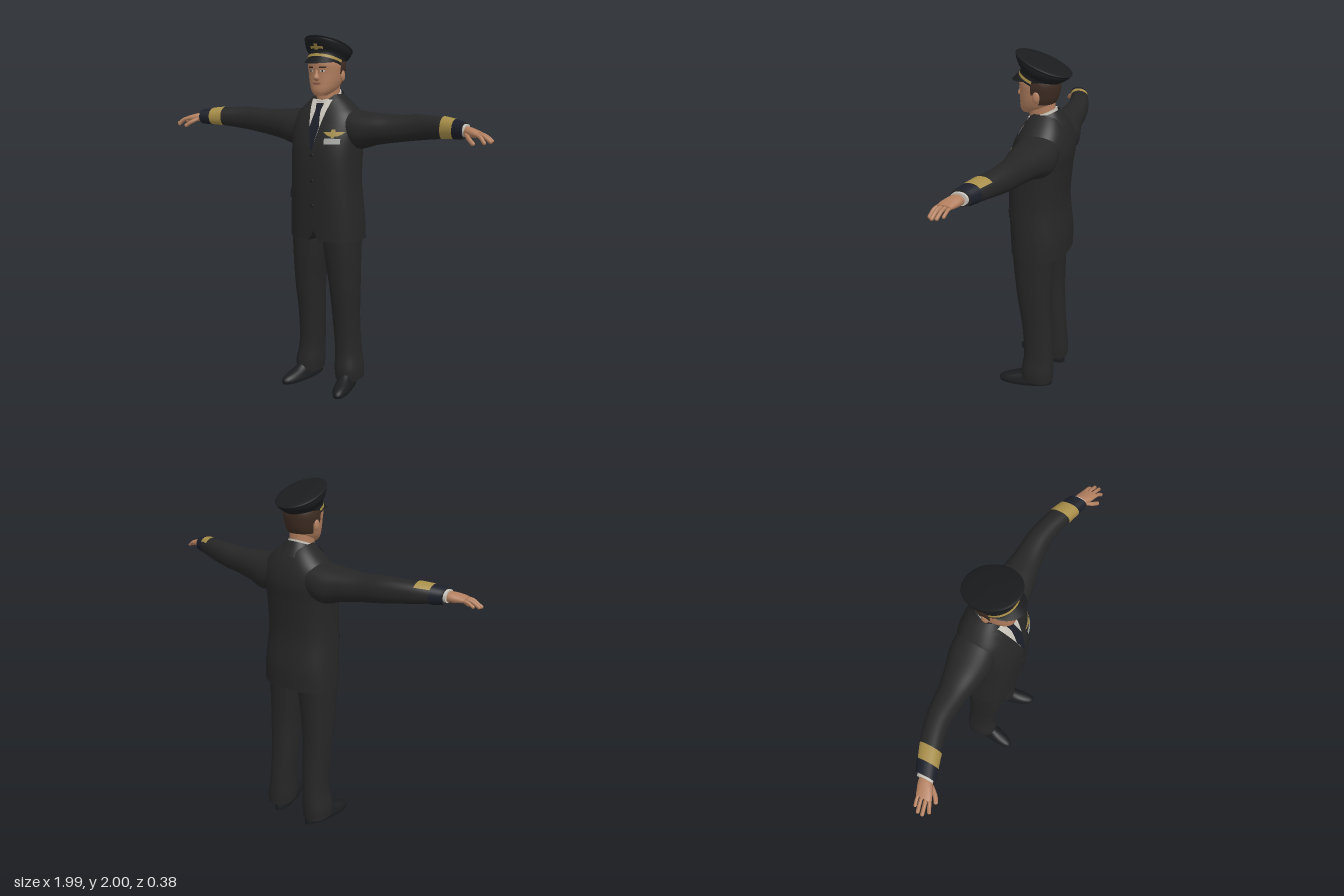
import * as THREE from 'three';

const PI = Math.PI;
const mat = (name, color, side = THREE.FrontSide) => {
  const m = new THREE.MeshStandardMaterial({ color, side });
  m.name = name;
  return m;
};

// Grid surface from fn(u, v) -> [x, y, z]; closed wraps v and caps both ends
function grid(nu, nv, fn, closed = false) {
  const pos = [], idx = [], cols = closed ? nv : nv + 1;
  for (let i = 0; i <= nu; i++)
    for (let j = 0; j < cols; j++) pos.push(...fn(i / nu, j / nv));
  for (let i = 0; i < nu; i++)
    for (let j = 0; j < nv; j++) {
      const k = (j + 1) % cols, a = i * cols + j, b = i * cols + k;
      idx.push(a, a + cols, b, b, a + cols, b + cols);
    }
  if (closed) for (const end of [0, 1]) {
    const base = pos.length / 3, mid = [0, 0, 0];
    for (let j = 0; j < nv; j++) {
      const p = fn(end, j / nv);
      pos.push(...p);
      p.forEach((c, k) => { mid[k] += c / nv; });
    }
    pos.push(...mid);
    for (let j = 0; j < nv; j++) {
      const a = base + j, b = base + (j + 1) % nv;
      idx.push(base + nv, end ? b : a, end ? a : b);
    }
  }
  const g = new THREE.BufferGeometry();
  g.setAttribute('position', new THREE.Float32BufferAttribute(pos, 3));
  g.setIndex(idx);
  g.computeVertexNormals();
  return g;
}

// Smooth body through rounded sections [t, a0, a1, b0, b1] along the y or x axis
class Loft {
  constructor(axis, rows, power = 2.2) {
    Object.assign(this, { axis, power, t0: rows[0][0], t1: rows[rows.length - 1][0] });
    this.curve = new THREE.CubicInterpolant(rows.map(r => r[0]), new Float32Array(rows.flatMap(r => r.slice(1))), 4);
  }
  ring(t) {
    const [a0, a1, b0, b1] = this.curve.evaluate(t);
    return { ca: (a0 + a1) / 2, ra: (a1 - a0) / 2, cb: (b0 + b1) / 2, rb: (b1 - b0) / 2 };
  }
  point(t, angle, off) {
    const r = this.ring(t), e = 2 / this.power, c = Math.cos(angle), s = Math.sin(angle);
    const a = r.ca + (r.ra + off) * Math.sign(c) * Math.abs(c) ** e;
    const b = r.cb + (r.rb + off) * Math.sign(s) * Math.abs(s) ** e;
    return this.axis === 'y' ? [a, t, b] : [t, b, a];
  }
  body(nu = 32, nv = 32) {
    return grid(nu, nv, (u, v) => this.point(this.t0 + (this.t1 - this.t0) * u, v * 2 * PI, 0), true);
  }
  // Thin layer over part of the surface
  wrap(t0, t1, a0, a1, off = 0.003) {
    return grid(10, 32, (u, v) => this.point(t0 + (t1 - t0) * u, a0 + (a1 - a0) * v, off));
  }
  // Thin plate on the front, outlined by rows [y, left, right]
  plate(rows, off = 0.004) {
    return grid((rows.length - 1) * 6, 10, (u, v) => {
      const f = u * (rows.length - 1), i = Math.min(Math.floor(f), rows.length - 2);
      const [y, l, r] = rows[i].map((c, k) => c + (rows[i + 1][k] - c) * (f - i));
      const x = r + (l - r) * v, q = this.ring(y);
      const k = Math.max(0, 1 - Math.abs((x - q.ca) / q.ra) ** this.power);
      return [x, y, q.cb + q.rb * k ** (1 / this.power) + off];
    });
  }
}

function bend(g, rule) {
  const p = g.attributes.position;
  for (let i = 0; i < p.count; i++) p.setXYZ(i, ...rule(p.getX(i), p.getY(i), p.getZ(i)));
  g.computeVertexNormals();
  return g;
}

function mirror(g) {
  const m = g.clone().scale(-1, 1, 1), ix = m.index.array;
  for (let i = 0; i < ix.length; i += 3) [ix[i], ix[i + 1]] = [ix[i + 1], ix[i]];
  m.computeVertexNormals();
  return m;
}

const ball = (r, x, y, z, sx = 1, sy = 1, sz = 1) =>
  new THREE.SphereGeometry(r, 16, 12).scale(sx, sy, sz).translate(x, y, z);

export function createModel() {
  const model = new THREE.Group();
  model.name = 'uniformedMan';
  const D = THREE.DoubleSide;
  const suit = mat('suitBlack', 0x262627, D), black = mat('capBlack', 0x1b1c1e, D), navy = mat('navy', 0x1c1f29);
  const skin = mat('skin', 0xb27f5f), hair = mat('hairBrown', 0x3d2c22), white = mat('shirtWhite', 0xc8c4bb, D);
  const gold = mat('gold', 0xa68d48), grey = mat('tagGrey', 0xa5a5a2), lip = mat('lips', 0x8f5b4a);
  const add = (name, g, m) => {
    const mesh = new THREE.Mesh(g, m);
    mesh.name = name;
    model.add(mesh);
  };
  const pair = (name, g, m) => {
    add(name + 'Left', g, m);
    add(name + 'Right', mirror(g), m);
  };

  // Jacket, with a notch at the front of the hem
  const torso = new Loft('y', [
    [0.89, 0.22, -0.185, 0.135], [1.0, 0.215, -0.185, 0.14], [1.2, 0.2, -0.167, 0.15], [1.4, 0.2, -0.18, 0.145],
    [1.5, 0.205, -0.19, 0.12], [1.58, 0.19, -0.175, 0.088], [1.63, 0.145, -0.155, 0.06],
    [1.67, 0.1, -0.13, 0.035], [1.69, 0.075, -0.11, 0.02]].map(([y, w, b, f]) => [y, -w, w, b, f]), 2.4);
  add('jacket', bend(torso.body(48, 64), (x, y, z) =>
    [x, y + (z > 0.05 && y < 0.97 ? Math.max(0, 0.055 - Math.abs(x) * 2.2) * (0.97 - y) / 0.08 : 0), z]), suit);
  add('shirtFront', torso.plate([[1.4, -0.002, 0.002], [1.53, -0.036, 0.036], [1.665, -0.066, 0.066]]), white);
  add('tie', torso.plate([[1.395, -0.004, 0.004], [1.52, -0.03, 0.03], [1.6, -0.017, 0.017], [1.615, -0.018, 0.018],
    [1.645, -0.024, 0.024]], 0.009), navy);
  pair('lapel', torso.plate([[1.39, 0, 0.006], [1.47, 0.02, 0.075], [1.55, 0.038, 0.118], [1.575, 0.044, 0.085],
    [1.665, 0.064, 0.09]], 0.007), suit);
  pair('pocketFlap', torso.wrap(1.115, 1.165, -0.25, 0.85, 0.006), suit);
  for (const y of [1.37, 1.23, 1.09]) add('button', ball(0.009, 0, y, torso.point(y, PI / 2, 0)[2], 1, 1, 0.5), black);

  // Chest badge and name tag
  add('wingBadge', torso.plate([[1.474, 0.095, 0.135], [1.484, 0.075, 0.155], [1.497, 0.06, 0.17]], 0.008), gold);
  add('badgeCentre', torso.plate([[1.468, 0.108, 0.122], [1.485, 0.1, 0.13], [1.512, 0.106, 0.124]], 0.011), gold);
  add('nameTag', torso.plate([[1.432, 0.07, 0.152], [1.463, 0.07, 0.152]], 0.008), grey);

  // Neck and collars, higher at the back
  const tilt = g => bend(g, (x, y, z) => [x, y - 0.4 * (z + 0.03), z]);
  add('neck', new Loft('y', [[1.58, -0.062, 0.062, -0.09, 0.04], [1.66, -0.06, 0.06, -0.09, 0.045],
    [1.76, -0.062, 0.062, -0.09, 0.05]]).body(), skin);
  const collar = new Loft('y', [[1.58, -0.078, 0.078, -0.11, 0.06], [1.63, -0.073, 0.073, -0.106, 0.058],
    [1.69, -0.067, 0.067, -0.1, 0.053]]);
  add('shirtCollar', tilt(collar.body()), white);
  const coatCollar = new Loft('y', [[1.59, -0.13, 0.13, -0.155, 0.08], [1.64, -0.096, 0.096, -0.13, 0.065],
    [1.678, -0.078, 0.078, -0.112, 0.06]]);
  add('jacketCollar', tilt(coatCollar.wrap(1.59, 1.678, PI / 2 + 0.8, 2.5 * PI - 0.8, 0)), suit);

  // Head and face
  const head = new Loft('y', [
    [1.685, 0.032, 0.02, 0.088], [1.705, 0.056, -0.04, 0.097], [1.75, 0.08, -0.09, 0.097], [1.8, 0.091, -0.108, 0.096],
    [1.86, 0.094, -0.112, 0.1], [1.91, 0.075, -0.09, 0.085]].map(([y, w, b, f]) => [y, -w, w, b, f]));
  add('head', head.body(), skin);
  add('hair', head.wrap(1.745, 1.885, PI + 0.3, 2 * PI - 0.3, 0.005), hair);
  pair('sideburn', head.wrap(1.8, 1.88, -0.32, 0.12, 0.004), hair);
  add('nose', new Loft('y', [[1.764, -0.012, 0.012, 0.07, 0.102], [1.776, -0.017, 0.017, 0.07, 0.116],
    [1.8, -0.011, 0.011, 0.07, 0.108], [1.832, -0.009, 0.009, 0.07, 0.096]]).body(16, 16), skin);
  pair('ear', ball(0.03, 0.094, 1.79, -0.02, 0.35, 1, 0.65), skin);
  pair('eye', head.plate([[1.811, 0.026, 0.044], [1.816, 0.02, 0.05], [1.822, 0.026, 0.044]], 0.002), white);
  pair('iris', head.plate([[1.811, 0.031, 0.039], [1.822, 0.031, 0.039]], 0.004), hair);
  pair('eyebrow', head.plate([[1.831, 0.018, 0.052], [1.839, 0.018, 0.056]], 0.003), hair);
  add('mouth', head.plate([[1.743, -0.014, 0.014], [1.749, -0.028, 0.028], [1.755, -0.014, 0.014]], 0.003), lip);

  // Peaked cap, sloping down to the back
  const cap = new Loft('y', [
    [0, 0.098, -0.115, 0.1], [0.045, 0.1, -0.117, 0.105], [0.07, 0.115, -0.138, 0.13], [0.098, 0.119, -0.154, 0.15],
    [0.112, 0.113, -0.147, 0.143], [0.119, 0.06, -0.08, 0.07], [0.121, 0.01, -0.02, 0.01]]
    .map(([y, w, b, f]) => [y, -w, w, b, f]), 2.05);
  const onHead = g => g.rotateX(-0.36).translate(0, 1.847, 0.01);
  add('cap', onHead(cap.body(60, 48)), black);
  add('capStrap', onHead(cap.wrap(0.012, 0.027, 0.05, PI - 0.05)), gold);
  add('capBadge', onHead(cap.wrap(0.05, 0.06, PI / 2 - 0.36, PI / 2 + 0.36)), gold);
  add('capBadgeCentre', onHead(cap.wrap(0.044, 0.068, PI / 2 - 0.09, PI / 2 + 0.09, 0.006)), gold);
  add('capVisor', grid(6, 32, (u, v) => {
    const a = PI * (0.92 - 0.84 * v), c = Math.cos(a), s = Math.sin(a), mix = THREE.MathUtils.lerp;
    return [c * mix(0.096, 0.102, u), mix(1.857 + 0.036 * s, 1.868 - 0.012 * s, u), mix(0.01 + 0.094 * s, 0.015 + 0.127 * s, u)];
  }), black);

  // Sleeves with cuff and gold band
  const arm = new Loft('x', [
    [0.08, -0.16, 0.05, 1.45, 1.625], [0.2, -0.165, 0.07, 1.4, 1.605], [0.3, -0.138, 0.058, 1.425, 1.597],
    [0.4, -0.115, 0.04, 1.443, 1.592], [0.55, -0.097, 0.03, 1.465, 1.6], [0.7, -0.055, 0.06, 1.485, 1.594],
    [0.83, 0, 0.1, 1.497, 1.578]]);
  pair('sleeve', arm.body(48, 40), suit);
  pair('cuff', arm.wrap(0.77, 0.832, 0, 2 * PI), navy);
  pair('goldBand', arm.wrap(0.7, 0.772, -1, 2.5, 0.005), gold);
  pair('shirtCuff', new Loft('x', [[0.81, 0.004, 0.088, 1.506, 1.572], [0.842, 0.01, 0.094, 1.506, 1.57]]).body(2), white);

  // Hands, palm down
  pair('palm', new Loft('x', [[0.81, 0.022, 0.076, 1.513, 1.562], [0.86, 0.026, 0.105, 1.508, 1.558],
    [0.9, 0.04, 0.122, 1.51, 1.547], [0.922, 0.048, 0.122, 1.514, 1.54]]).body(16, 24), skin);
  const finger = (name, pts, r) => {
    const path = new THREE.CatmullRomCurve3(pts.map(p => new THREE.Vector3(...p)));
    pair(name, new THREE.TubeGeometry(path, 10, r, 10), skin);
    pair(name + 'Tip', ball(r, ...pts[2]), skin);
  };
  finger('indexFinger', [[0.9, 1.528, 0.112], [0.935, 1.518, 0.126], [0.96, 1.492, 0.136]], 0.0095);
  finger('middleFinger', [[0.9, 1.53, 0.094], [0.945, 1.521, 0.106], [0.983, 1.497, 0.113]], 0.0098);
  finger('ringFinger', [[0.9, 1.53, 0.074], [0.945, 1.523, 0.082], [0.982, 1.5, 0.089]], 0.0092);
  finger('littleFinger', [[0.9, 1.528, 0.056], [0.935, 1.522, 0.06], [0.963, 1.504, 0.065]], 0.008);
  finger('thumb', [[0.85, 1.525, 0.09], [0.88, 1.505, 0.125], [0.905, 1.486, 0.14]], 0.011);

  // Trousers and shoes, toes turned out
  pair('trouserLeg', new Loft('y', [
    [0.045, 0.062, 0.212, -0.14, 0.048], [0.1, 0.056, 0.214, -0.142, 0.052], [0.2, 0.056, 0.196, -0.138, 0.04],
    [0.4, 0.045, 0.19, -0.126, 0.052], [0.6, 0.035, 0.198, -0.12, 0.08], [0.85, 0.003, 0.203, -0.13, 0.106],
    [0.96, -0.005, 0.205, -0.14, 0.112]], 2.3).body(40, 36), suit);
  const shoe = new Loft('y', [
    [0, 0.092, 0.19, -0.13, 0.182], [0.018, 0.089, 0.193, -0.13, 0.188], [0.042, 0.095, 0.187, -0.126, 0.165],
    [0.07, 0.1, 0.18, -0.12, 0.085], [0.1, 0.105, 0.175, -0.11, 0.03]]);
  pair('shoe', bend(shoe.body(20, 36), (x, y, z) => [x + 0.2 * z, y, z]), black);

  return model;
}
